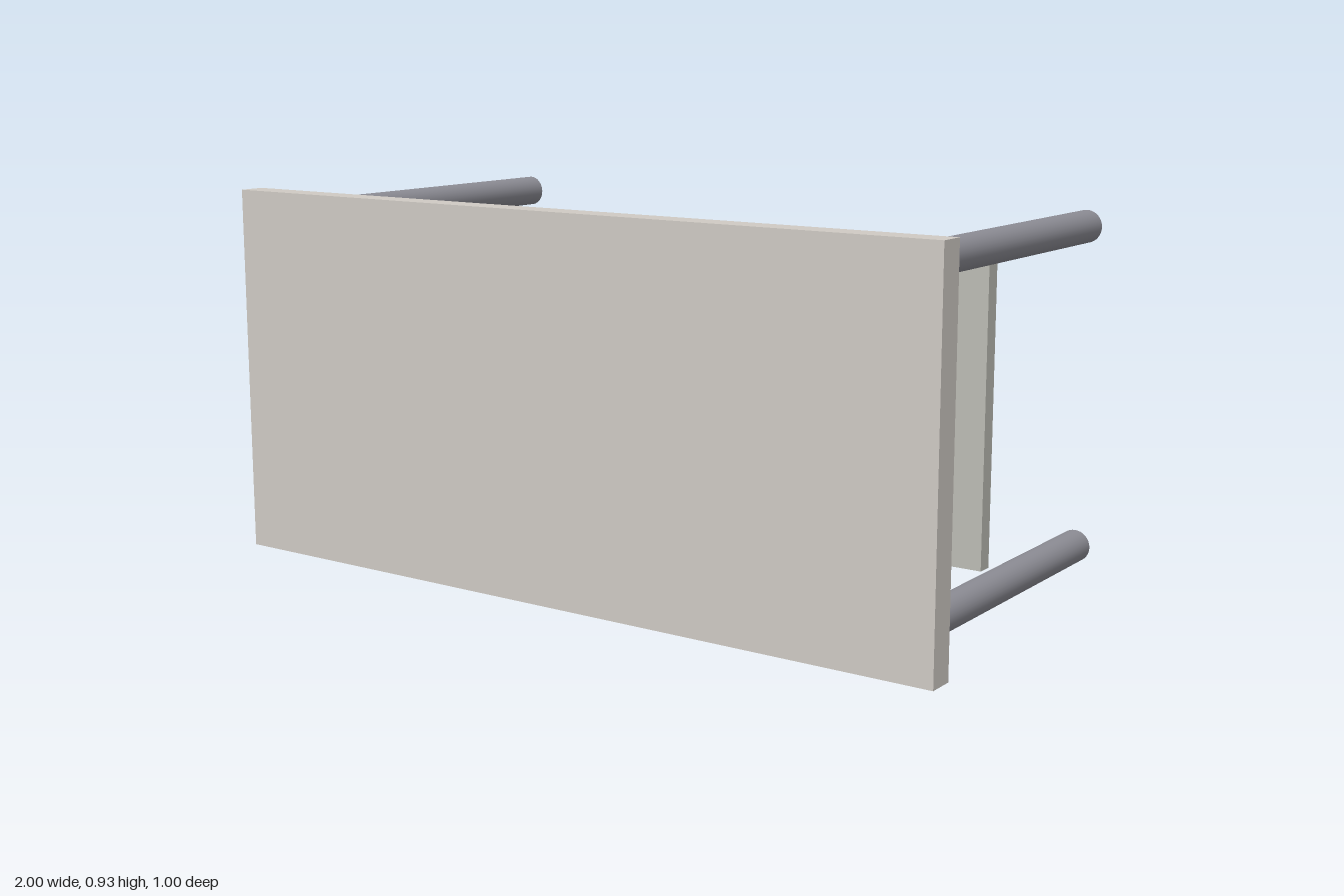
import * as THREE from 'three';

const HEIGHT = 0.933;
const MID_Y = HEIGHT / 2;

export function createModel() {
  const model = new THREE.Group();
  model.name = 'coffeeTable';

  const topMaterial = new THREE.MeshStandardMaterial({ color: 0xcfcac4 });
  const shelfMaterial = new THREE.MeshStandardMaterial({ color: 0xbcbcb4 });
  const legMaterial = new THREE.MeshStandardMaterial({ color: 0x8c8c94 });

  const addPart = (name, geometry, material, x, y, z) => {
    const mesh = new THREE.Mesh(geometry, material);
    mesh.name = name;
    mesh.position.set(x, y, z);
    model.add(mesh);
    return mesh;
  };

  // The table lies on its long edge: its top faces +z and its legs point to -z
  addPart('tableTop', new THREE.BoxGeometry(2, HEIGHT, 0.067), topMaterial, 0, MID_Y, 0.4665);

  // Thin shelf held between the legs
  addPart('shelf', new THREE.BoxGeometry(1.667, 0.733, 0.04), shelfMaterial, 0, MID_Y, -0.065);

  // Four round legs
  const legGeometry = new THREE.CylinderGeometry(0.04, 0.04, 0.933, 32).rotateX(Math.PI / 2);
  for (const [side, sx] of [['Left', 1], ['Right', -1]]) {
    for (const [level, sy] of [['upper', 1], ['lower', -1]]) {
      addPart(`${level}${side}Leg`, legGeometry, legMaterial, sx * 0.867, MID_Y + sy * 0.4, -0.0335);
    }
  }

  return model;
}
